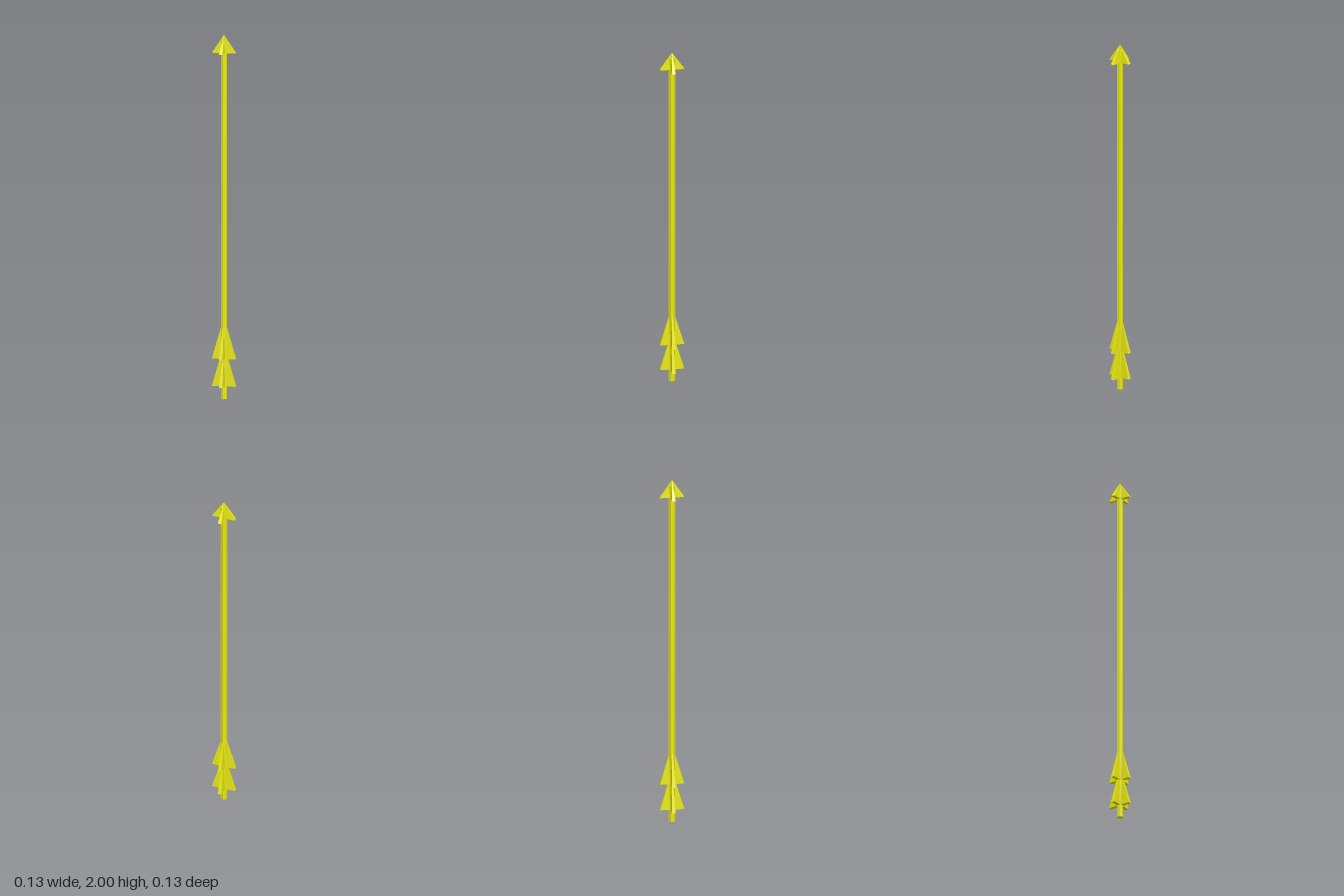
import * as THREE from 'three';

const material = new THREE.MeshStandardMaterial({ color: 0xe6e612, flatShading: true });

// Thin rectangular pyramid standing on its base
function blade(width, depth, bottom, top) {
  const geometry = new THREE.ConeGeometry(Math.SQRT1_2, 1, 4);
  geometry.rotateY(Math.PI / 4);
  geometry.translate(0, 0.5, 0);
  geometry.scale(width, top - bottom, depth);
  geometry.translate(0, bottom, 0);
  return new THREE.Mesh(geometry, material);
}

// Two blades crossing at right angles
function crossedBlades(name, bottom, top) {
  const group = new THREE.Group();
  group.name = name;
  for (let i = 0; i < 2; i++) {
    const mesh = blade(0.132, 0.021, bottom, top);
    mesh.name = `${name}Blade${i + 1}`;
    mesh.rotation.y = i * Math.PI / 2;
    group.add(mesh);
  }
  return group;
}

export function createModel() {
  const arrow = new THREE.Group();
  arrow.name = 'arrow';

  // Six-sided shaft, running up into the head
  const length = 1.97;
  const shaft = new THREE.Mesh(new THREE.CylinderGeometry(0.018, 0.018, length, 6), material);
  shaft.name = 'shaft';
  shaft.position.y = length / 2;
  arrow.add(shaft);

  // Pointed head and two tiers of fletching
  arrow.add(crossedBlades('head', 1.9, 2));
  arrow.add(crossedBlades('upperFletching', 0.22, 0.45));
  arrow.add(crossedBlades('lowerFletching', 0.07, 0.3));

  return arrow;
}
